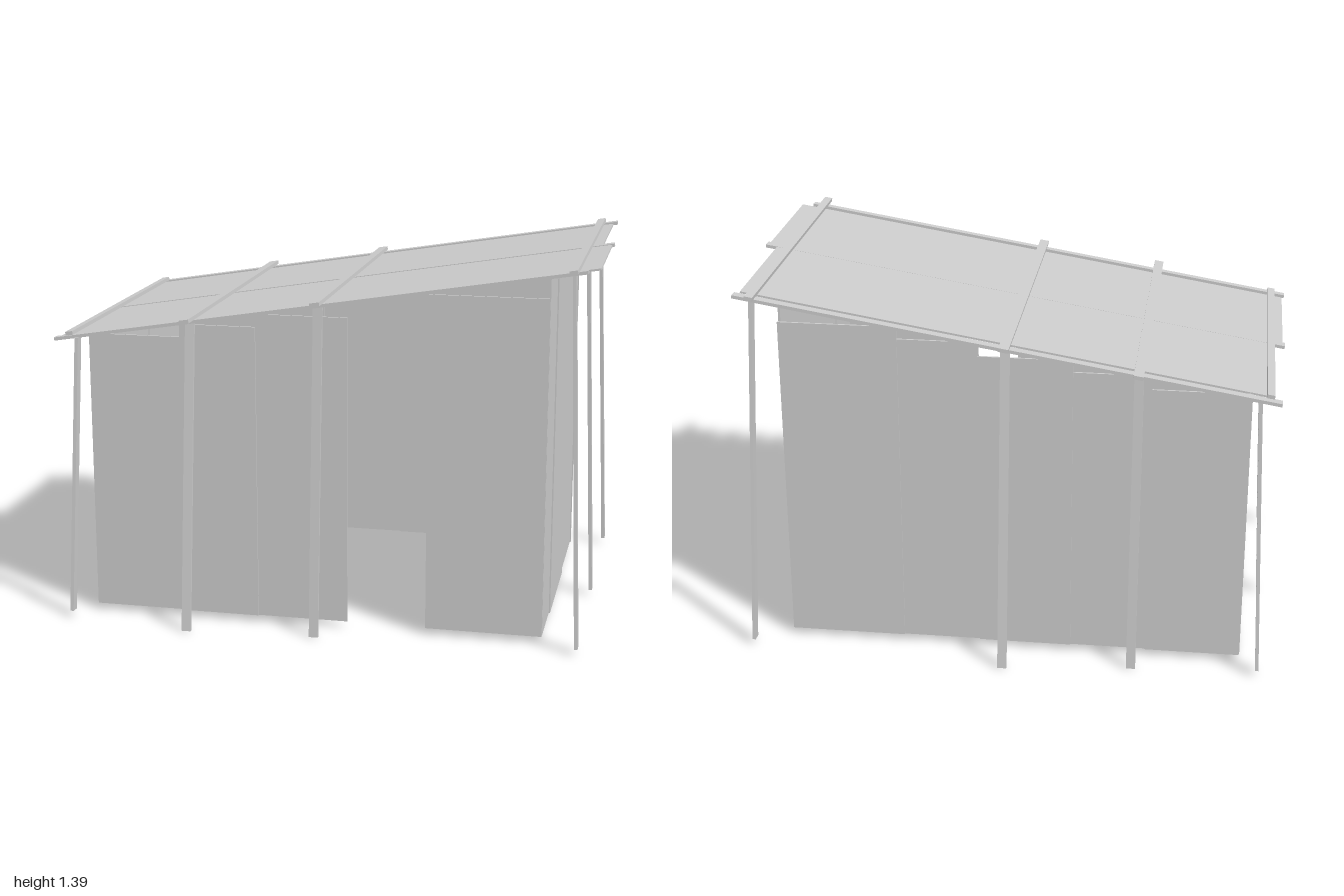
import * as THREE from 'three';

const SLOPE = 0.163;
const roofY = (x, lift = 0) => 1.224 + SLOPE * x + lift;

export function createModel() {
  const model = new THREE.Group();
  const mat = new THREE.MeshStandardMaterial({ color: 0xcccccc, flatShading: true, side: THREE.DoubleSide });

  // Straight slat from a to b; width lies along the given axis, thickness across it
  function slat(name, a, b, width, thick, wideAxis) {
    const start = new THREE.Vector3(...a), end = new THREE.Vector3(...b);
    const along = end.clone().sub(start);
    const length = along.length();
    along.normalize();
    const wide = new THREE.Vector3(...wideAxis);
    wide.addScaledVector(along, -wide.dot(along)).normalize();
    const across = new THREE.Vector3().crossVectors(wide, along);
    const mesh = new THREE.Mesh(new THREE.BoxGeometry(width, length, thick), mat);
    mesh.quaternion.setFromRotationMatrix(new THREE.Matrix4().makeBasis(wide, along, across));
    mesh.position.copy(start).add(end).multiplyScalar(0.5);
    mesh.name = name;
    model.add(mesh);
  }

  // Box given by its minimum and maximum corners
  function panel(name, min, max) {
    const size = max.map((v, i) => v - min[i]);
    const mesh = new THREE.Mesh(new THREE.BoxGeometry(...size), mat);
    mesh.position.set(...max.map((v, i) => (v + min[i]) / 2));
    mesh.name = name;
    model.add(mesh);
  }

  const BASE = 0.025, T = 0.008;

  // Stepped front and back wall boards; the front leaves a doorway
  const boards = [
    [-0.88, -0.53, 1.08], [-0.53, -0.245, 1.13], [-0.245, 0.095, 1.177],
    [0.095, 0.39, 1.227], [0.39, 0.82, 1.275],
  ];
  boards.forEach(([x0, x1, top], i) => {
    const zb = -0.548 - (i % 2 ? 0 : 0.006);
    panel('backWallBoard', [x0, BASE, zb - T / 2], [x1 + 0.004, top, zb + T / 2]);
    if (i === 3) return;
    const zf = 0.553 + (i === 1 || i === 4 ? 0.007 : 0);
    panel('frontWallBoard', [x0, BASE, zf - T / 2], [x1, top, zf + T / 2]);
  });

  // Side wall boards, tall on the left and low on the right
  function sideWall(name, x, top, edges) {
    for (let i = 0; i < edges.length - 1; i++) {
      const xo = x + (i % 2 ? 0.005 : 0);
      panel(name, [xo - T / 2, BASE, edges[i]], [xo + T / 2, top, edges[i + 1]]);
    }
  }
  sideWall('leftWallBoard', 0.816, 1.35, [-0.55, -0.16, 0.31, 0.55]);
  sideWall('rightWallBoard', -0.878, 1.074, [-0.55, -0.33, -0.11, 0.22, 0.55]);

  // Two sloping roof sheets meeting along the middle
  const Z = [0, 0, 1], X = [1, 0, 0];
  slat('backRoofSheet', [-0.958, roofY(-0.958), -0.28], [0.955, roofY(0.955), -0.28], 0.54, 0.007, Z);
  slat('frontRoofSheet', [-0.99, roofY(-0.99, -0.002), 0.27], [0.99, roofY(0.99, -0.002), 0.27], 0.56, 0.007, Z);

  // Long sloping beams at the front, middle and back
  for (const [z, x0, x1, w] of [[0.585, -1, 0.95, 0.03], [0, -0.998, 0.998, 0.038], [-0.592, -0.985, 0.97, 0.035]])
    slat('longBeam', [x0, roofY(x0, z ? 0 : -0.002), z], [x1, roofY(x1, z ? 0 : -0.002), z], w, 0.012, Z);

  // Cross beams lying on the roof
  const crossBeams = [[-0.945, -0.58, 0.59, 0.028], [-0.482, -0.65, 0.66, 0.036],
    [-0.006, -0.645, 0.64, 0.036], [0.904, -0.632, 0.648, 0.03]];
  for (const [x, z0, z1, w] of crossBeams)
    slat('crossBeam', [x, roofY(x, 0.013), z0], [x, roofY(x, 0.013), z1], w, 0.014, [1, SLOPE, 0]);

  // Leaning posts at both ends: corners and middle
  for (const [footX, headX] of [[0.953, 0.904], [-0.948, -0.91]]) {
    for (const [footZ, headZ] of [[0.647, 0.592], [0.01, 0.01], [-0.65, -0.588]])
      slat('endPost', [footX, BASE, footZ], [headX, roofY(headX, -0.005), headZ], 0.036, 0.013, Z);
  }

  // Leaning posts along the front and back
  for (const [x, footZ, headZ] of [[-0.482, 0.714, 0.582], [-0.006, 0.678, 0.582],
    [-0.482, -0.662, -0.59], [-0.006, -0.718, -0.59]])
    slat('sidePost', [x, 0.002, footZ], [x, roofY(x, 0.005), headZ], 0.034, 0.012, X);

  return model;
}
